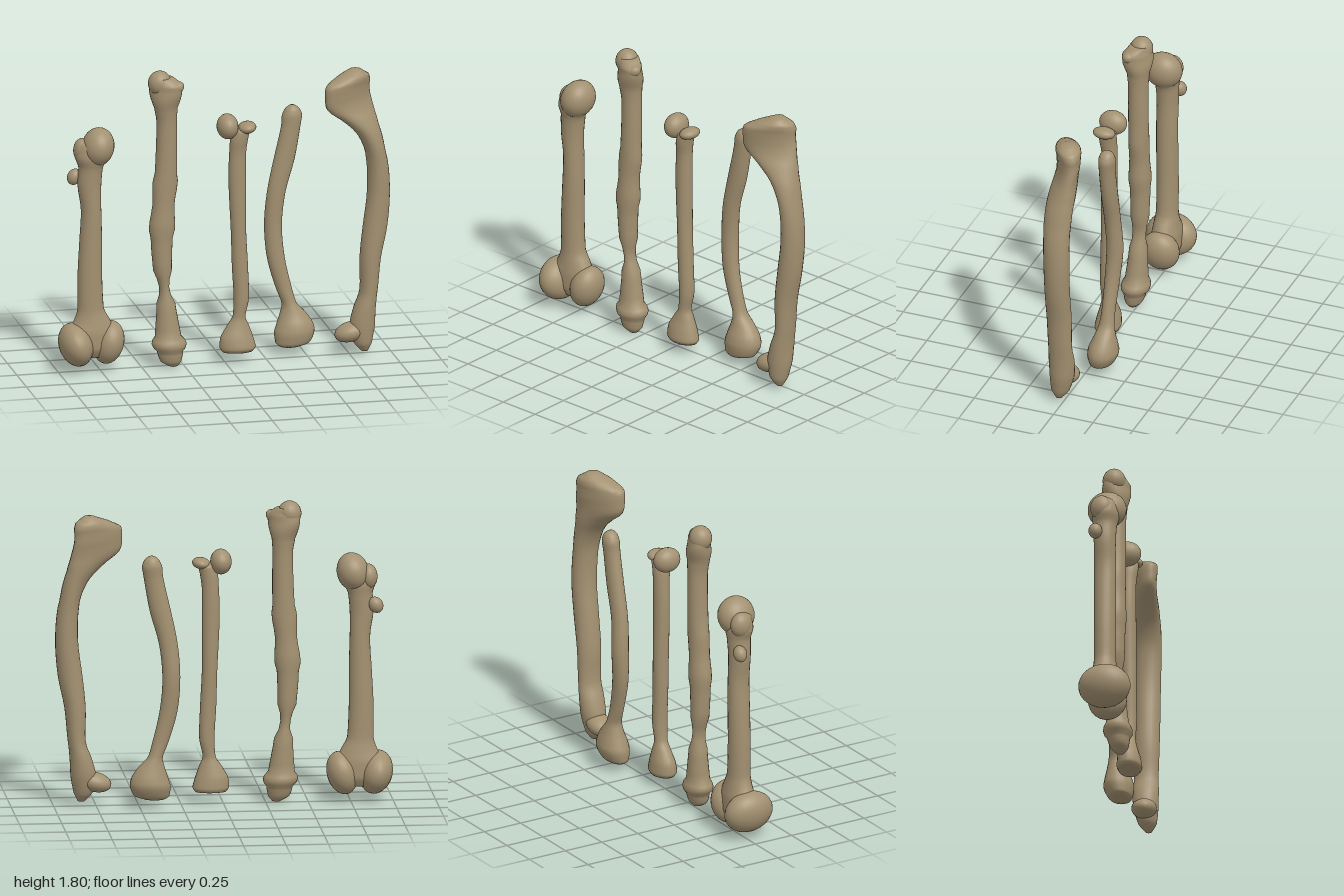
import * as THREE from 'three';

const bone = new THREE.MeshStandardMaterial({ color: 0xa39171 });
bone.name = 'bone';

// Closed smooth loft. Row: [y, left x, right x, back z, front z, shear of z along x]
function loft(name, rows, sides = 22, steps = 4) {
  const centre = new THREE.CatmullRomCurve3(
    rows.map(([y, x0, x1, z0, z1]) => new THREE.Vector3((x0 + x1) / 2, y, (z0 + z1) / 2)));
  const size = new THREE.CatmullRomCurve3(
    rows.map(([, x0, x1, z0, z1, k = 0]) => new THREE.Vector3((x1 - x0) / 2, (z1 - z0) / 2, k)));
  const n = (rows.length - 1) * steps;
  const pos = [], idx = [];
  for (let i = 0; i <= n; i++) {
    const c = centre.getPoint(i / n), s = size.getPoint(i / n);
    for (let j = 0; j < sides; j++) {
      const a = (j / sides) * Math.PI * 2;
      const dx = Math.sin(a) * s.x;
      pos.push(c.x + dx, c.y, c.z + Math.cos(a) * s.y + s.z * dx);
    }
  }
  for (let i = 0; i < n; i++) {
    for (let j = 0; j < sides; j++) {
      const a = i * sides + j, b = i * sides + (j + 1) % sides;
      idx.push(a, b, b + sides, a, b + sides, a + sides);
    }
  }
  // End caps
  const low = centre.getPoint(0), high = centre.getPoint(1), p = pos.length / 3;
  pos.push(low.x, low.y - 0.004, low.z, high.x, high.y + 0.004, high.z);
  for (let j = 0; j < sides; j++) {
    const k = (j + 1) % sides;
    idx.push(p, k, j, p + 1, n * sides + j, n * sides + k);
  }
  const g = new THREE.BufferGeometry();
  g.setAttribute('position', new THREE.Float32BufferAttribute(pos, 3));
  g.setIndex(idx);
  g.computeVertexNormals();
  const m = new THREE.Mesh(g, bone);
  m.name = name;
  return m;
}

// Ellipsoid joint knob
function knob(name, [x, y, z], [rx, ry, rz], tilt = 0, yaw = 0) {
  const m = new THREE.Mesh(new THREE.SphereGeometry(1, 24, 16), bone);
  m.name = name;
  m.position.set(x, y, z);
  m.scale.set(rx, ry, rz);
  m.rotation.set(0, yaw, tilt);
  return m;
}

function group(name, ...parts) {
  const g = new THREE.Group();
  g.name = name;
  g.add(...parts);
  return g;
}

export function createModel() {
  // Thigh bone with ball head and two condyles
  const thigh = group('thighBone',
    loft('thighShaft', [
      [0.11, -0.88, -0.70, -0.05, 0.06], [0.17, -0.94, -0.66, -0.08, 0.09],
      [0.25, -0.95, -0.66, -0.08, 0.09], [0.32, -0.91, -0.69, -0.07, 0.08],
      [0.40, -0.885, -0.73, -0.06, 0.07], [0.60, -0.885, -0.74, -0.06, 0.07],
      [0.80, -0.875, -0.74, -0.06, 0.07], [1.00, -0.865, -0.745, -0.06, 0.07],
      [1.15, -0.885, -0.745, -0.06, 0.07], [1.26, -0.88, -0.735, -0.065, 0.075],
      [1.33, -0.9, -0.70, -0.07, 0.09], [1.40, -0.885, -0.70, -0.06, 0.08],
      [1.43, -0.85, -0.74, -0.03, 0.05]]),
    knob('ballHead', [-0.765, 1.385, 0.012], [0.095, 0.115, 0.115], -0.25),
    knob('greatTrochanter', [-0.855, 1.36, -0.01], [0.052, 0.075, 0.065]),
    knob('lesserTrochanter', [-0.895, 1.195, -0.04], [0.042, 0.05, 0.04], -0.5),
    knob('outerCondyle', [-0.9, 0.185, 0.015], [0.098, 0.13, 0.155], 0.25),
    knob('innerCondyle', [-0.7, 0.185, 0.005], [0.09, 0.13, 0.115], -0.25));

  // Straight long bone
  const straight = group('straightBone',
    loft('straightShaft', [
      [0.02, -0.34, -0.29, 0.0, 0.05], [0.05, -0.39, -0.265, -0.03, 0.075],
      [0.11, -0.41, -0.255, -0.05, 0.085], [0.20, -0.42, -0.265, -0.055, 0.08],
      [0.40, -0.41, -0.30, -0.05, 0.06], [0.60, -0.43, -0.32, -0.05, 0.06],
      [0.80, -0.445, -0.315, -0.055, 0.065], [1.00, -0.435, -0.305, -0.055, 0.065],
      [1.20, -0.42, -0.29, -0.055, 0.065], [1.50, -0.41, -0.29, -0.055, 0.065],
      [1.60, -0.425, -0.285, -0.06, 0.075], [1.70, -0.45, -0.265, -0.065, 0.085, 0.3],
      [1.74, -0.45, -0.265, -0.06, 0.085, 0.3], [1.78, -0.44, -0.31, -0.05, 0.06]]),
    knob('straightHead', [-0.39, 1.745, 0.0], [0.07, 0.075, 0.068]),
    knob('straightSpur', [-0.298, 1.725, 0.045], [0.045, 0.035, 0.04], 0.4));

  // Thin bone with a small ball and side spur
  const thin = group('thinBone',
    loft('thinShaft', [
      [0.085, -0.02, 0.165, -0.04, 0.085], [0.11, -0.035, 0.18, -0.05, 0.1],
      [0.17, -0.03, 0.165, -0.045, 0.09], [0.24, 0.01, 0.14, -0.03, 0.07],
      [0.30, 0.045, 0.12, -0.02, 0.06], [0.40, 0.05, 0.14, -0.025, 0.065],
      [0.60, 0.04, 0.135, -0.025, 0.065], [0.80, 0.035, 0.125, -0.03, 0.065],
      [1.00, 0.025, 0.125, -0.03, 0.065], [1.15, 0.02, 0.125, -0.03, 0.065],
      [1.30, 0.025, 0.125, -0.03, 0.065], [1.38, 0.03, 0.135, -0.03, 0.075],
      [1.43, 0.045, 0.145, -0.03, 0.075], [1.455, 0.07, 0.13, -0.01, 0.05]]),
    knob('thinHead', [0.013, 1.46, 0.018], [0.063, 0.075, 0.085]),
    knob('thinSpur', [0.128, 1.45, 0.03], [0.054, 0.034, 0.068], 0.15));

  // Curved slim bone with flared base
  const curved = group('curvedBone',
    loft('curvedShaft', [
      [0.065, 0.35, 0.47, -0.12, -0.03], [0.085, 0.325, 0.53, -0.15, -0.01],
      [0.15, 0.32, 0.56, -0.18, 0.0], [0.20, 0.335, 0.55, -0.175, -0.01],
      [0.26, 0.355, 0.51, -0.16, -0.035], [0.33, 0.365, 0.45, -0.145, -0.055],
      [0.42, 0.33, 0.425, -0.14, -0.06], [0.60, 0.28, 0.385, -0.15, -0.06],
      [0.80, 0.265, 0.37, -0.165, -0.065], [1.00, 0.28, 0.39, -0.155, -0.06],
      [1.20, 0.32, 0.445, -0.155, -0.06], [1.40, 0.365, 0.48, -0.155, -0.06],
      [1.46, 0.37, 0.49, -0.16, -0.06], [1.505, 0.39, 0.475, -0.15, -0.07],
      [1.525, 0.415, 0.45, -0.13, -0.09]]));

  // Thick bowed bone with wide sloping head and side foot
  const bowed = group('bowedBone',
    loft('bowedShaft', [
      [0.04, 0.815, 0.855, 0.01, 0.05], [0.09, 0.77, 0.88, -0.03, 0.08],
      [0.20, 0.75, 0.90, -0.06, 0.09], [0.30, 0.775, 0.905, -0.065, 0.09],
      [0.40, 0.81, 0.915, -0.06, 0.085], [0.60, 0.81, 0.935, -0.06, 0.09],
      [0.80, 0.83, 0.975, -0.06, 0.09], [1.00, 0.855, 0.99, -0.065, 0.09],
      [1.20, 0.85, 0.975, -0.065, 0.095], [1.35, 0.80, 0.945, -0.07, 0.1, -0.15],
      [1.45, 0.705, 0.92, -0.07, 0.095, -0.3], [1.53, 0.605, 0.90, -0.06, 0.085, -0.35],
      [1.60, 0.59, 0.885, -0.065, 0.085, -0.4], [1.67, 0.595, 0.885, -0.07, 0.09, -0.4],
      [1.715, 0.67, 0.875, -0.08, 0.075, -0.3], [1.75, 0.755, 0.825, -0.05, 0.03]]),
    knob('bowedFoot', [0.755, 0.155, 0.015], [0.098, 0.058, 0.075], 0.25));

  return group('boneSet', thigh, straight, thin, curved, bowed);
}
